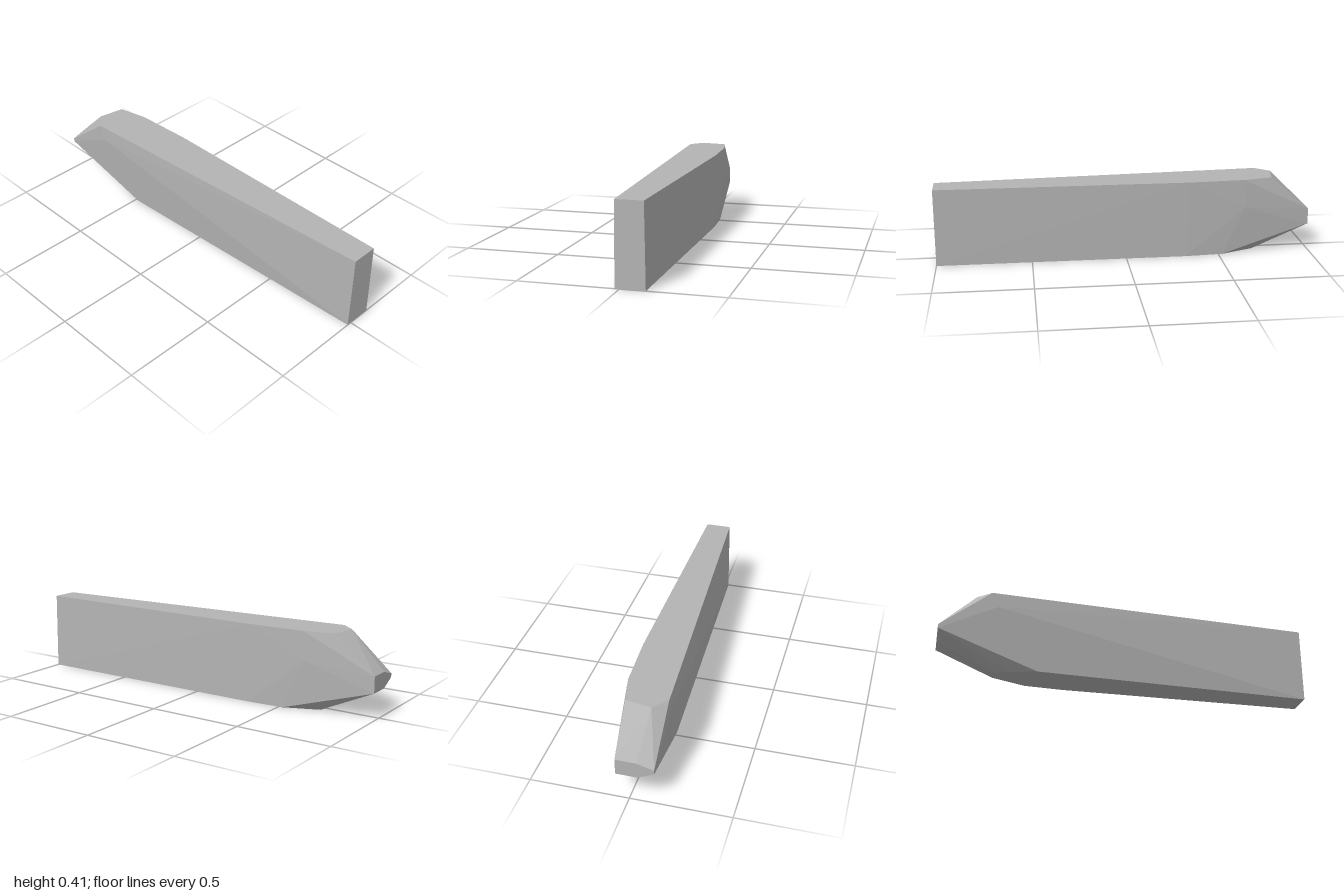
import * as THREE from 'three';
import { ConvexGeometry } from 'three/addons/geometries/ConvexGeometry.js';

const HEIGHT = 0.41;

// Outlines of the faceted slab as [x, z] pairs
const topOutline = [
  [1, 0.02], [-0.735, 0.125], [-0.81, 0.06], [-0.785, -0.075],
  [-0.63, -0.11], [-0.33, -0.125], [1, -0.118],
];
const bottomOutline = [
  [1, 0.023], [-0.48, 0.09], [-0.63, 0.05], [-0.69, 0.017],
  [-0.7, -0.04], [-0.52, -0.112], [-0.32, -0.125], [1, -0.124],
];

// Small blunt face at the pointed end as [y, z] pairs
const tipOutline = [
  [0.225, -0.065], [0.14, -0.065], [0.14, 0.045],
  [0.18, 0.125], [0.2, 0.125], [0.225, 0.04],
];

export function createModel() {
  const group = new THREE.Group();
  group.name = 'facetedSlab';

  const stone = new THREE.MeshStandardMaterial({ color: 0xb4b4b4 });
  stone.name = 'grey stone';

  const points = [
    ...topOutline.map(([x, z]) => new THREE.Vector3(x, HEIGHT, z)),
    ...bottomOutline.map(([x, z]) => new THREE.Vector3(x, 0, z)),
    ...tipOutline.map(([y, z]) => new THREE.Vector3(-1, y, z)),
    // Slight bulges on the front and back faces
    new THREE.Vector3(-0.7, 0.33, 0.126),
    new THREE.Vector3(-0.64, 0.26, -0.113),
  ];

  // Every facet is flat, so the slab is the hull of its corners
  const body = new THREE.Mesh(new ConvexGeometry(points), stone);
  body.name = 'slabBody';
  group.add(body);
  return group;
}
